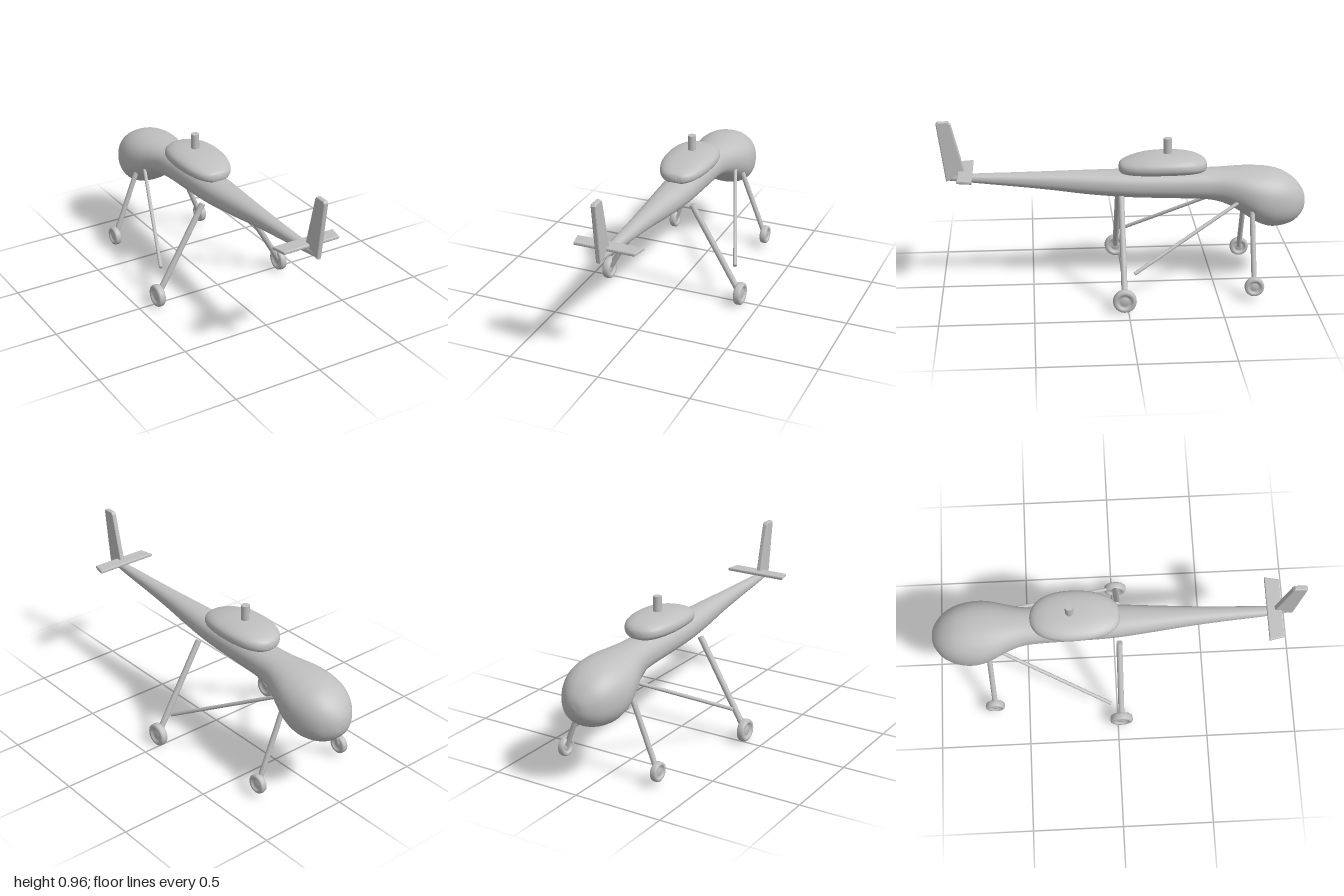
import * as THREE from 'three';

const grey = new THREE.MeshStandardMaterial({ color: 0xc0c0c0 });
grey.name = 'light grey';

function add(parent, name, geometry) {
  const mesh = new THREE.Mesh(geometry, grey);
  mesh.name = name;
  parent.add(mesh);
  return mesh;
}

// Smooth loft along z through stations [z, top, bottom, halfWidth] with superelliptic sections
function loft(stations, power, rings = 72, sides = 40) {
  const heights = new THREE.CatmullRomCurve3(
    stations.map(([z, t, b]) => new THREE.Vector3(z, t, b)), false, 'catmullrom', 0.5);
  const widths = new THREE.CatmullRomCurve3(
    stations.map(([z, , , w]) => new THREE.Vector3(z, w, 0)), false, 'catmullrom', 0.5);
  const pos = [], index = [];
  const bend = (v) => Math.sign(v) * Math.abs(v) ** (2 / power);
  for (let i = 0; i <= rings; i++) {
    const { x: z, y: top, z: bottom } = heights.getPoint(i / rings);
    const w = Math.max(widths.getPoint(i / rings).y, 0.0005);
    for (let j = 0; j < sides; j++) {
      const a = (j / sides) * Math.PI * 2;
      pos.push(w * bend(Math.cos(a)), (top + bottom) / 2 + ((top - bottom) / 2) * bend(Math.sin(a)), z);
      if (i < rings) {
        const k = (j + 1) % sides, p = i * sides, q = p + sides;
        index.push(p + j, p + k, q + j, p + k, q + k, q + j);
      }
    }
  }
  // close both ends
  const last = rings * sides;
  for (let j = 1; j < sides - 1; j++) index.push(0, j + 1, j, last, last + j, last + j + 1);
  const g = new THREE.BufferGeometry();
  g.setAttribute('position', new THREE.Float32BufferAttribute(pos, 3));
  g.setIndex(index);
  g.computeVertexNormals();
  return g;
}

// Round bar between two points
function bar(from, to, radius) {
  const a = new THREE.Vector3(...from), b = new THREE.Vector3(...to);
  const dir = b.clone().sub(a);
  const g = new THREE.CylinderGeometry(radius, radius, dir.length(), 20);
  g.applyQuaternion(new THREE.Quaternion().setFromUnitVectors(new THREE.Vector3(0, 1, 0), dir.normalize()));
  const c = a.add(b).multiplyScalar(0.5);
  return g.translate(c.x, c.y, c.z);
}

// Flat plate with rounded edges, centred on its thickness
function plate(points, thickness, bevel) {
  const shape = new THREE.Shape(points.map(([x, y]) => new THREE.Vector2(x, y)));
  const depth = thickness - 2 * bevel;
  return new THREE.ExtrudeGeometry(shape, {
    depth, bevelEnabled: true, bevelSize: bevel, bevelThickness: bevel, bevelOffset: -bevel, bevelSegments: 4,
  }).translate(0, 0, -depth / 2);
}

// Wheel with rounded tread and dished sides, axle along x
function wheelGeometry(r, h) {
  const half = [[0, 0.75], [0.28, 0.75], [0.36, 0.5], [0.55, 0.5], [0.64, 0.92], [0.72, 1], [0.86, 1], [0.96, 0.78], [1, 0.4]];
  const profile = [
    ...half.map(([x, y]) => new THREE.Vector2(x * r, -y * h)),
    ...half.slice().reverse().map(([x, y]) => new THREE.Vector2(x * r, y * h)),
  ];
  return new THREE.LatheGeometry(profile, 32).rotateZ(Math.PI / 2);
}

export function createModel() {
  const model = new THREE.Group();
  model.name = 'helicopter';

  // Bulbous cabin tapering into the tail boom
  add(model, 'fuselage', loft([
    [-1, 0.475, 0.465, 0.004], [-0.993, 0.515, 0.425, 0.045], [-0.97, 0.556, 0.388, 0.085],
    [-0.93, 0.598, 0.355, 0.125], [-0.87, 0.634, 0.336, 0.156], [-0.8, 0.653, 0.333, 0.172],
    [-0.73, 0.66, 0.358, 0.172], [-0.66, 0.662, 0.405, 0.156], [-0.58, 0.661, 0.455, 0.127],
    [-0.5, 0.66, 0.484, 0.105], [-0.4, 0.66, 0.496, 0.098], [-0.2, 0.66, 0.505, 0.095],
    [0, 0.662, 0.516, 0.09], [0.2, 0.663, 0.535, 0.072], [0.4, 0.662, 0.563, 0.053],
    [0.6, 0.661, 0.587, 0.039], [0.8, 0.66, 0.61, 0.028], [0.95, 0.656, 0.626, 0.012],
  ], 2.25));

  // Rotor housing and mast
  add(model, 'rotorHousing', loft([
    [-0.455, 0.695, 0.675, 0.012], [-0.446, 0.713, 0.66, 0.048], [-0.42, 0.731, 0.65, 0.086],
    [-0.37, 0.746, 0.646, 0.118], [-0.3, 0.754, 0.645, 0.136], [-0.22, 0.755, 0.645, 0.141],
    [-0.13, 0.75, 0.645, 0.134], [-0.06, 0.737, 0.645, 0.115], [-0.01, 0.722, 0.648, 0.087],
    [0.017, 0.709, 0.655, 0.054], [0.027, 0.69, 0.672, 0.014],
  ], 2.4));
  add(model, 'rotorMast', bar([0, 0.73, -0.24], [0, 0.838, -0.24], 0.023));

  // Tail surfaces
  add(model, 'tailFin', plate(
    [[0.958, 0.623], [0.845, 0.655], [0.855, 0.67], [0.922, 0.944], [0.933, 0.957], [0.99, 0.957], [1, 0.946]],
    0.028, 0.007).rotateY(-Math.PI / 2));
  add(model, 'tailplane', plate(
    [[-0.181, 0.815], [0.181, 0.815], [0.164, 0.895], [-0.164, 0.895]],
    0.018, 0.006).rotateX(Math.PI / 2));
  model.getObjectByName('tailplane').position.y = 0.67;

  // Landing gear on both sides
  for (const [side, s] of [['left', 1], ['right', -1]]) {
    const gear = new THREE.Group();
    gear.name = `${side}LandingGear`;
    model.add(gear);
    add(gear, 'mainStrut', bar([s * 0.108, 0.549, 0.02], [s * 0.39, 0.07, 0.02], 0.0165));
    add(gear, 'mainWheel', wheelGeometry(0.063, 0.021)).position.set(s * 0.395, 0.063, 0.02);
    add(gear, 'cabinStrut', bar([s * 0.13, 0.47, -0.69], [s * 0.285, 0.08, -0.69], 0.0145));
    add(gear, 'cabinWheel', wheelGeometry(0.053, 0.0185)).position.set(s * 0.289, 0.078, -0.69);
    add(gear, 'brace', bar([s * 0.122, 0.5, -0.612], [s * 0.342, 0.196, -0.036], 0.01));
  }
  return model;
}
